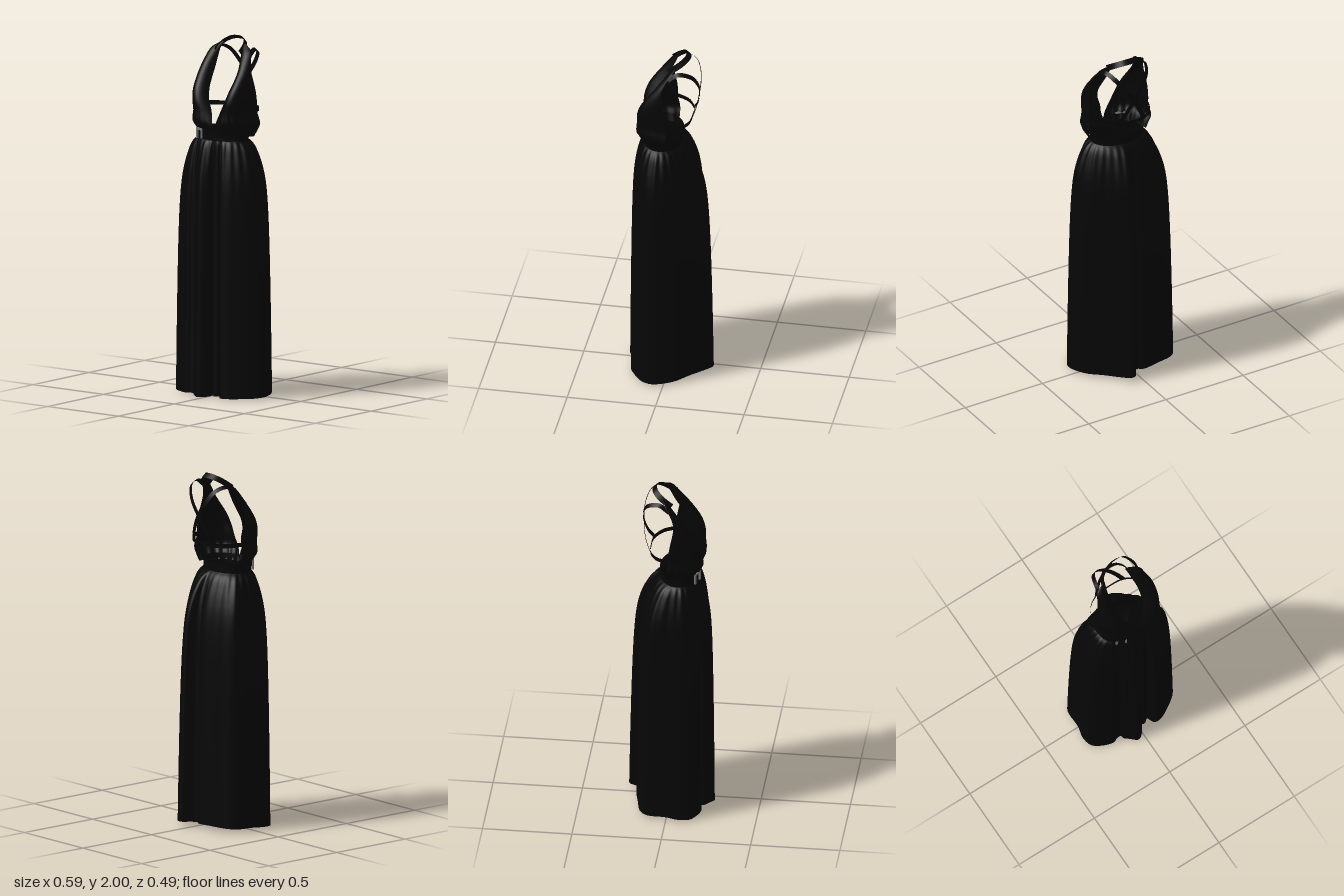
import * as THREE from 'three';

const cloth = new THREE.MeshStandardMaterial({ color: 0x060606, side: THREE.DoubleSide });
const metal = new THREE.MeshStandardMaterial({ color: 0x777777 });
const V = (x, y, z) => new THREE.Vector3(x, y, z);

// Smooth sheet from a rule f(u, v) -> Vector3
function sheet(name, f, nu, nv) {
  const pos = [], idx = [];
  for (let j = 0; j <= nv; j++)
    for (let i = 0; i <= nu; i++) pos.push(...f(i / nu, j / nv).toArray());
  for (let j = 0; j < nv; j++)
    for (let i = 0; i < nu; i++) {
      const a = j * (nu + 1) + i, b = a + nu + 1;
      idx.push(a, a + 1, b, a + 1, b + 1, b);
    }
  const g = new THREE.BufferGeometry();
  g.setAttribute('position', new THREE.Float32BufferAttribute(pos, 3));
  g.setIndex(idx);
  g.computeVertexNormals();
  const mesh = new THREE.Mesh(g, cloth);
  mesh.name = name;
  return mesh;
}

// Flat strap along a curve, facing away from a centre point
function ribbon(name, points, width, centre) {
  const curve = new THREE.CatmullRomCurve3(points);
  return sheet(name, (u, v) => {
    const p = curve.getPoint(u);
    const across = curve.getTangent(u).cross(p.clone().sub(centre)).normalize();
    return p.addScaledVector(across, (v - 0.5) * width);
  }, 48, 2);
}

// Smooth interpolation through rows of numbers, t in 0..1
function rowAt(rows, t) {
  const s = t * (rows.length - 1), i = Math.min(Math.floor(s), rows.length - 2), f = s - i;
  const at = k => rows[Math.max(0, Math.min(rows.length - 1, k))];
  return rows[0].map((_, c) => {
    const a = at(i - 1)[c], b = at(i)[c], d = at(i + 1)[c], e = at(i + 2)[c];
    return b + 0.5 * f * (d - a + f * (2 * a - 5 * b + 4 * d - e + f * (3 * (b - d) + e - a)));
  });
}

// Folded outline of the hem, x and z
const hem = new THREE.CatmullRomCurve3([
  [-0.28, -0.11], [-0.24, -0.15], [-0.15, -0.172], [-0.04, -0.19], [-0.012, -0.172],
  [0.015, -0.19], [0.04, -0.24], [0.07, -0.243], [0.11, -0.208], [0.18, -0.13],
  [0.25, -0.06], [0.288, 0.02], [0.293, 0.07], [0.265, 0.125], [0.2, 0.175],
  [0.13, 0.21], [0.09, 0.208], [0.066, 0.168], [0.05, 0.18], [0.03, 0.184],
  [0.012, 0.166], [0.01, 0.2], [-0.01, 0.23], [-0.04, 0.245], [-0.08, 0.215],
  [-0.108, 0.19], [-0.11, 0.175], [-0.14, 0.175], [-0.16, 0.185], [-0.22, 0.17],
  [-0.28, 0.13], [-0.295, 0.07], [-0.282, 0],
].map(([x, z]) => V(x, 0, z)), true);

// Height and spread of the skirt, waist to hem
const spread = [[1.44, 0], [1.42, 0.17], [1.38, 0.35], [1.3, 0.57], [1.2, 0.73], [1.05, 0.83], [0.8, 0.9], [0.4, 0.96], [0, 1]];

function skirtPoint(u, v) {
  const h = hem.getPoint(u), [y, t] = rowAt(spread, v);
  const a = Math.atan2(h.z - 0.04, h.x);
  const gather = 1 + 0.035 * Math.sin(a * 26) * Math.sin(Math.PI * Math.min(1, v * 1.4));
  const x = THREE.MathUtils.lerp(-0.01 + 0.16 * Math.cos(a) * gather, h.x, t);
  const z = THREE.MathUtils.lerp(0.05 + 0.112 * Math.sin(a) * gather, h.z, t);
  const lift = Math.max(0, 0.02 - 0.08 * h.z) * v ** 4;
  return V(x, y + lift * 0.7, z);
}

// Halter cup rows: y, centre x, inner half-width, front z, outer half-width, outer z
const cupRows = [
  [1.46, 0.0, 0.0, 0.158, 0.162, -0.01], [1.5, 0.012, 0.003, 0.172, 0.183, -0.012],
  [1.54, 0.012, 0.014, 0.186, 0.203, -0.008], [1.6, 0.012, 0.03, 0.178, 0.19, 0],
  [1.66, 0.01, 0.055, 0.172, 0.19, 0.003], [1.72, 0.008, 0.072, 0.148, 0.189, 0.012],
  [1.78, 0.006, 0.082, 0.105, 0.182, 0.024], [1.83, 0.002, 0.084, 0.065, 0.172, 0.028],
  [1.88, -0.004, 0.08, 0.03, 0.158, 0.012], [1.93, -0.008, 0.075, -0.005, 0.14, -0.018],
  [1.965, -0.01, 0.068, -0.042, 0.085, -0.04],
];

function cup(name, side) {
  return sheet(name, (u, v) => {
    const [y, cx, xi, zf, xo, zo] = rowAt(cupRows, v);
    const full = Math.sin(Math.PI * v);
    const fold = 0.004 * Math.sin(u * 40) * Math.max(0, 1 - v * 2.5);
    // Neckline sits back on the chest, the bust bulges forward, then wraps to the side
    const p = new THREE.CubicBezierCurve(
      new THREE.Vector2(xi, zf - 0.045 * full),
      new THREE.Vector2(xi + 0.45 * (xo - xi), zf + 0.07 * full),
      new THREE.Vector2(xo + 0.008 * full, zo + 0.8 * (zf - zo)),
      new THREE.Vector2(xo, zo)).getPoint(u);
    return V(cx * (1 - 0.7 * u) + side * (p.x + fold), y, p.y + fold);
  }, 36, 44);
}

export function createModel() {
  const dress = new THREE.Group();
  dress.name = 'halterDress';

  // Skirt
  dress.add(sheet('skirt', skirtPoint, 260, 56));

  // Waistband, slightly pinched in the middle
  dress.add(sheet('waistband', (u, v) => {
    const a = u * Math.PI * 2, k = 1 - 0.02 * Math.sin(v * Math.PI);
    return V(-0.01 + 0.162 * k * Math.cos(a), 1.4 + 0.095 * v, 0.051 + 0.114 * k * Math.sin(a));
  }, 64, 6));

  // Inner briefs, front waist through the crotch to the back: y, z, half-width
  const briefRows = [
    [1.42, 0.15, 0.13], [1.3, 0.15, 0.13], [1.2, 0.14, 0.1], [1.1, 0.07, 0.055],
    [1.08, 0, 0.04], [1.12, -0.06, 0.06], [1.22, -0.11, 0.12], [1.32, -0.1, 0.14], [1.42, -0.055, 0.12],
  ];
  dress.add(sheet('innerBriefs', (u, v) => {
    const [y, z, w] = rowAt(briefRows, v), s = u * 2 - 1;
    return V(-0.008 + w * s, y, z - (z - 0.04) * 0.4 * s * s);
  }, 16, 40));

  // Bodice and crossed back straps
  for (const [label, s] of [['left', 1], ['right', -1]]) {
    dress.add(cup(label + 'Bodice', s));
    dress.add(ribbon(label + 'BackStrap', [
      V(s * 0.13, 1.9, 0), V(s * 0.125, 1.937, -0.055), V(s * 0.102, 1.917, -0.12),
      V(s * 0.06, 1.855, -0.152), V(s * -0.002, 1.765, -0.155),
      V(s * -0.055, 1.67, -0.138), V(s * -0.09, 1.605, -0.106),
    ], 0.026, V(0, 1.77, 0)));
  }

  // Neck strap behind the nape
  dress.add(ribbon('neckStrap', [
    V(-0.1, 1.92, 0.01), V(-0.095, 1.948, -0.03), V(-0.08, 1.97, -0.062), V(-0.05, 1.986, -0.086),
    V(-0.01, 1.99, -0.093), V(0.03, 1.986, -0.086), V(0.06, 1.97, -0.062),
    V(0.075, 1.948, -0.03), V(0.08, 1.92, 0.01),
  ], 0.034, V(-0.01, 1.92, -0.03)));

  // Band across the open back
  dress.add(ribbon('backBand', [
    V(-0.19, 1.612, 0.005), V(-0.155, 1.608, -0.065), V(-0.085, 1.605, -0.108), V(0, 1.605, -0.115),
    V(0.085, 1.605, -0.108), V(0.155, 1.608, -0.065), V(0.19, 1.612, 0.005),
  ], 0.024, V(0, 1.607, 0)));

  // Belt buckle: a top bar and two prongs
  const buckle = new THREE.Group();
  buckle.name = 'buckle';
  for (const [x, y, w, h] of [[0, 0.027, 0.064, 0.012], [-0.026, 0, 0.012, 0.06], [0.026, 0.003, 0.012, 0.055]]) {
    const bar = new THREE.Mesh(new THREE.BoxGeometry(w, h, 0.008), metal);
    bar.name = 'buckleBar';
    bar.position.set(x, y, 0);
    buckle.add(bar);
  }
  buckle.position.set(-0.095, 1.469, 0.155);
  buckle.rotation.y = -0.42;
  dress.add(buckle);

  return dress;
}
